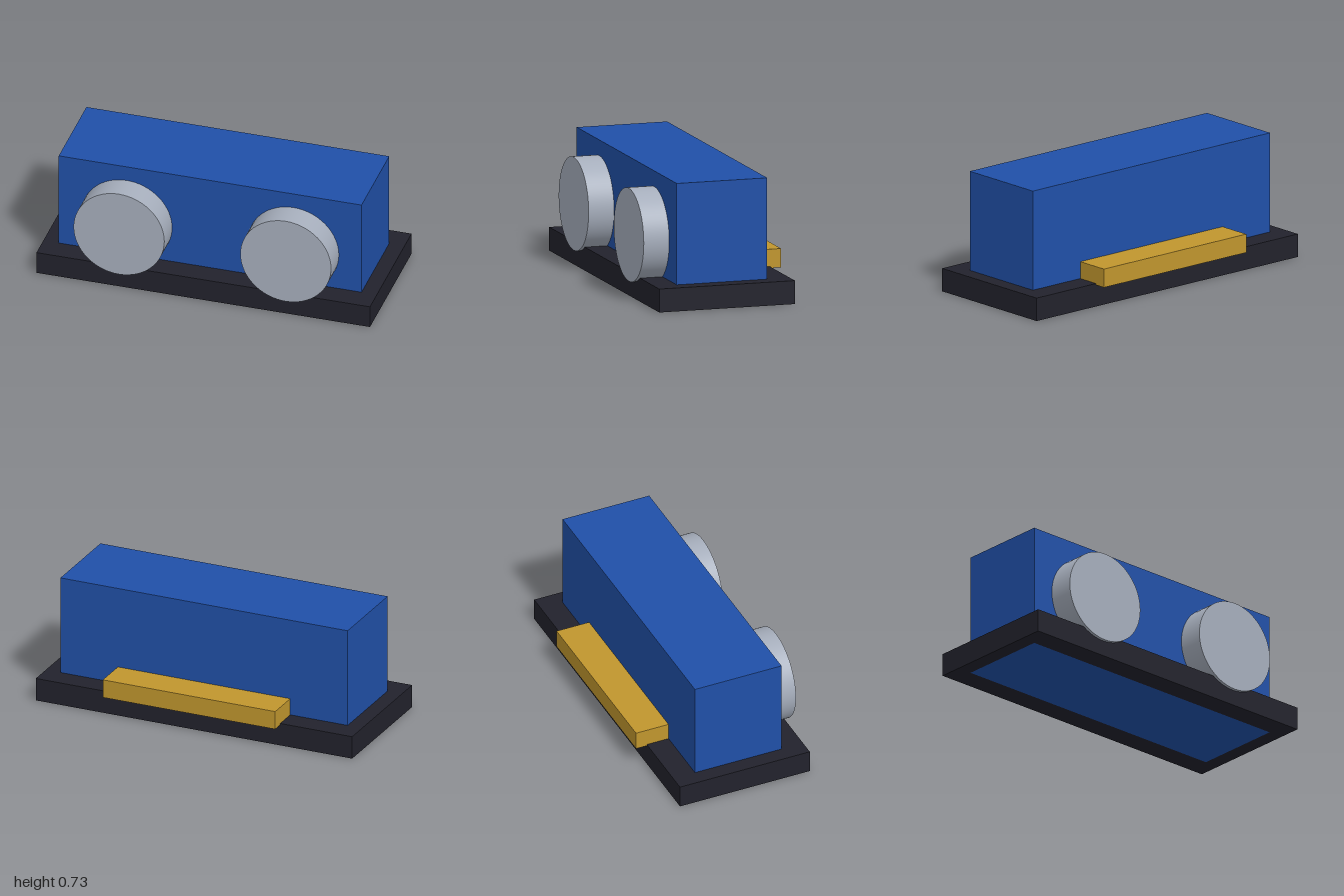
import * as THREE from 'three';

const material = (name, color) => {
  const m = new THREE.MeshStandardMaterial({ color });
  m.name = name;
  return m;
};

export function createModel() {
  const group = new THREE.Group();
  const dark = material('dark charcoal', 0x22222c);
  const blue = material('blue', 0x2050a8);
  const grey = material('light grey', 0xa6aebc);
  const gold = material('gold', 0xc0962e);

  const add = (name, geometry, mat) => {
    const mesh = new THREE.Mesh(geometry, mat);
    mesh.name = name;
    group.add(mesh);
    return mesh;
  };
  // Box given by half width and its y and z extents
  const box = (name, mat, halfX, y0, y1, z0, z1) =>
    add(name, new THREE.BoxGeometry(halfX * 2, y1 - y0, z1 - z0), mat)
      .position.set(0, (y0 + y1) / 2, (z0 + z1) / 2);
  const rectangle = (Type, halfX, z0, z1) => new Type([
    new THREE.Vector2(-halfX, -z1), new THREE.Vector2(halfX, -z1),
    new THREE.Vector2(halfX, -z0), new THREE.Vector2(-halfX, -z0),
  ]);

  // Base frame around the body, whose underside stays exposed
  const outline = rectangle(THREE.Shape, 1, -0.385, 0.435);
  outline.holes.push(rectangle(THREE.Path, 0.908, -0.248, 0.299));
  const frame = new THREE.ExtrudeGeometry(outline, { depth: 0.137, bevelEnabled: false });
  frame.rotateX(-Math.PI / 2);
  add('base', frame, dark);

  // Main body, reaching down through the base
  box('body', blue, 0.908, 0, 0.729, -0.248, 0.299);

  // Rear ledge
  box('rearLedge', gold, 0.545, 0.128, 0.238, -0.453, -0.246);

  // Round front discs
  for (const [name, x] of [['leftDisc', 0.5], ['rightDisc', -0.5]]) {
    const disc = new THREE.CylinderGeometry(0.272, 0.272, 0.173, 64);
    disc.rotateX(Math.PI / 2);
    add(name, disc, grey).position.set(x, 0.365, 0.3665);
  }
  return group;
}
